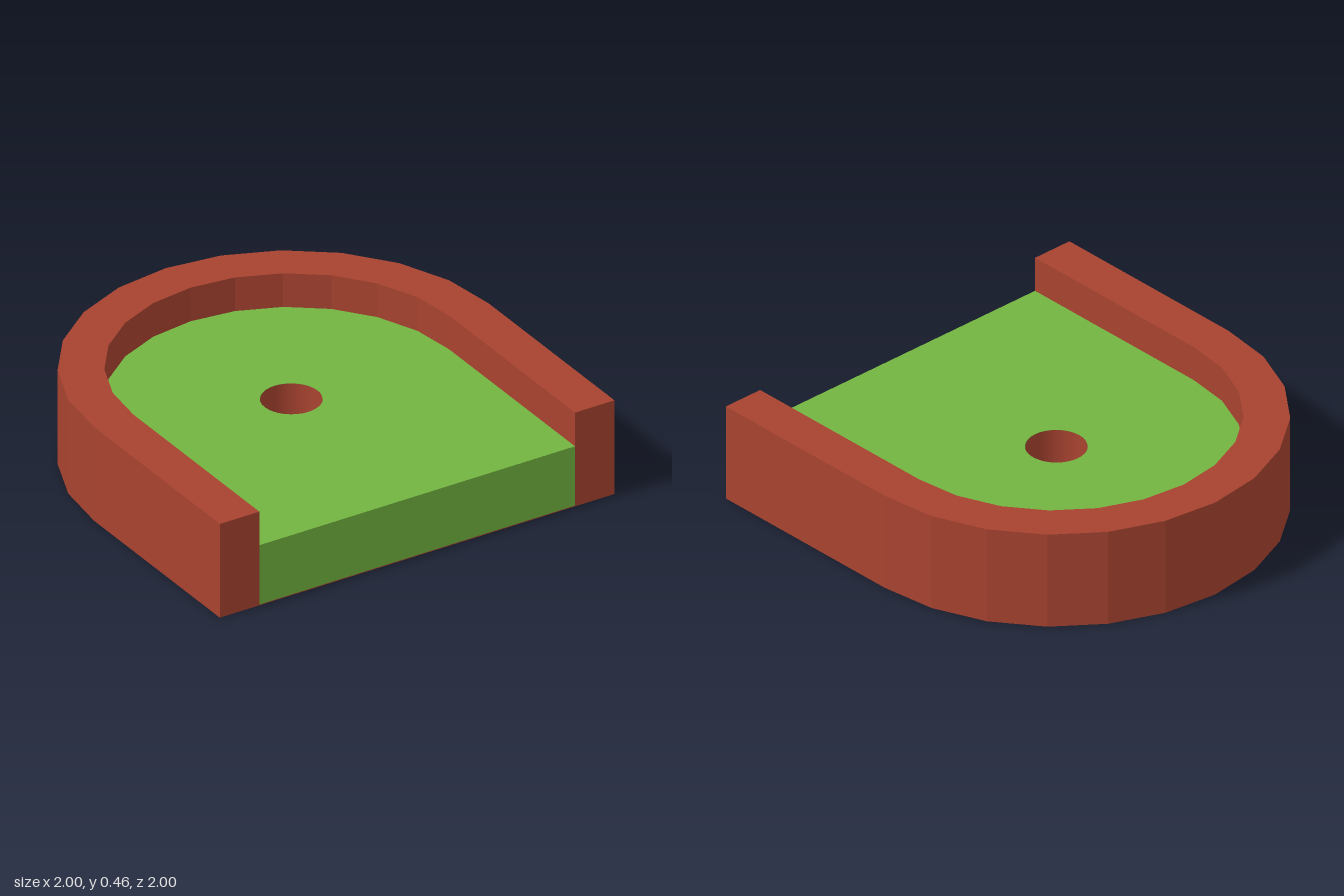
import * as THREE from 'three';

const RED = 0xa84330, GREEN = 0x74b441, DARK = 0x444444;
const BASE = 0.004, TURF_TOP = 0.295, WALL_TOP = 0.46, HOLE_R = 0.135, CUP_FLOOR = 0.06;

// Half-circle of 12 flat facets, from +x round the back to -x
function arc(r) {
  return Array.from({ length: 13 }, (_, i) => {
    const a = (i / 12) * Math.PI;
    return new THREE.Vector2(r * Math.cos(a), r * Math.sin(a));
  });
}

// Arc closed off by straight sides to the front edge
function ends(r) {
  return [new THREE.Vector2(-r, -1), new THREE.Vector2(r, -1)];
}

// Upright slab from a plan outline (plan y becomes -z)
function slab(shape, bottom, top) {
  const geometry = new THREE.ExtrudeGeometry(shape, { depth: top - bottom, bevelEnabled: false, curveSegments: 16 });
  return geometry.rotateX(-Math.PI / 2).translate(0, bottom, 0);
}

export function createModel() {
  const group = new THREE.Group();
  const add = (name, geometry, color, side = THREE.FrontSide) => {
    const mesh = new THREE.Mesh(geometry, new THREE.MeshStandardMaterial({ color, side }));
    mesh.name = name;
    group.add(mesh);
  };

  // Thin underside across the whole outline
  add('base', slab(new THREE.Shape([...arc(1), ...ends(1)]), 0, BASE), RED);

  // U-shaped wall, open at the front
  const wall = new THREE.Shape([...arc(1), ...ends(1).slice(0, 1), ...ends(0.8).slice(0, 1),
    ...arc(0.8).reverse(), ...ends(0.8).slice(1), ...ends(1).slice(1)]);
  add('wall', slab(wall, BASE, WALL_TOP), RED);

  // Green with a round hole
  const turf = new THREE.Shape([...arc(0.8), ...ends(0.8)]);
  turf.holes.push(new THREE.Path().absarc(0, 0, HOLE_R, 0, Math.PI * 2, true));
  add('turf', slab(turf, BASE, TURF_TOP), GREEN);

  // Cup lining and dark cup floor
  const lining = new THREE.CylinderGeometry(HOLE_R - 0.002, HOLE_R - 0.002, TURF_TOP - CUP_FLOOR, 32, 1, true);
  add('cupLining', lining.translate(0, (TURF_TOP + CUP_FLOOR) / 2, 0), RED, THREE.BackSide);
  add('cupFloor', new THREE.CircleGeometry(HOLE_R, 32).rotateX(-Math.PI / 2).translate(0, CUP_FLOOR, 0), DARK);

  return group;
}
